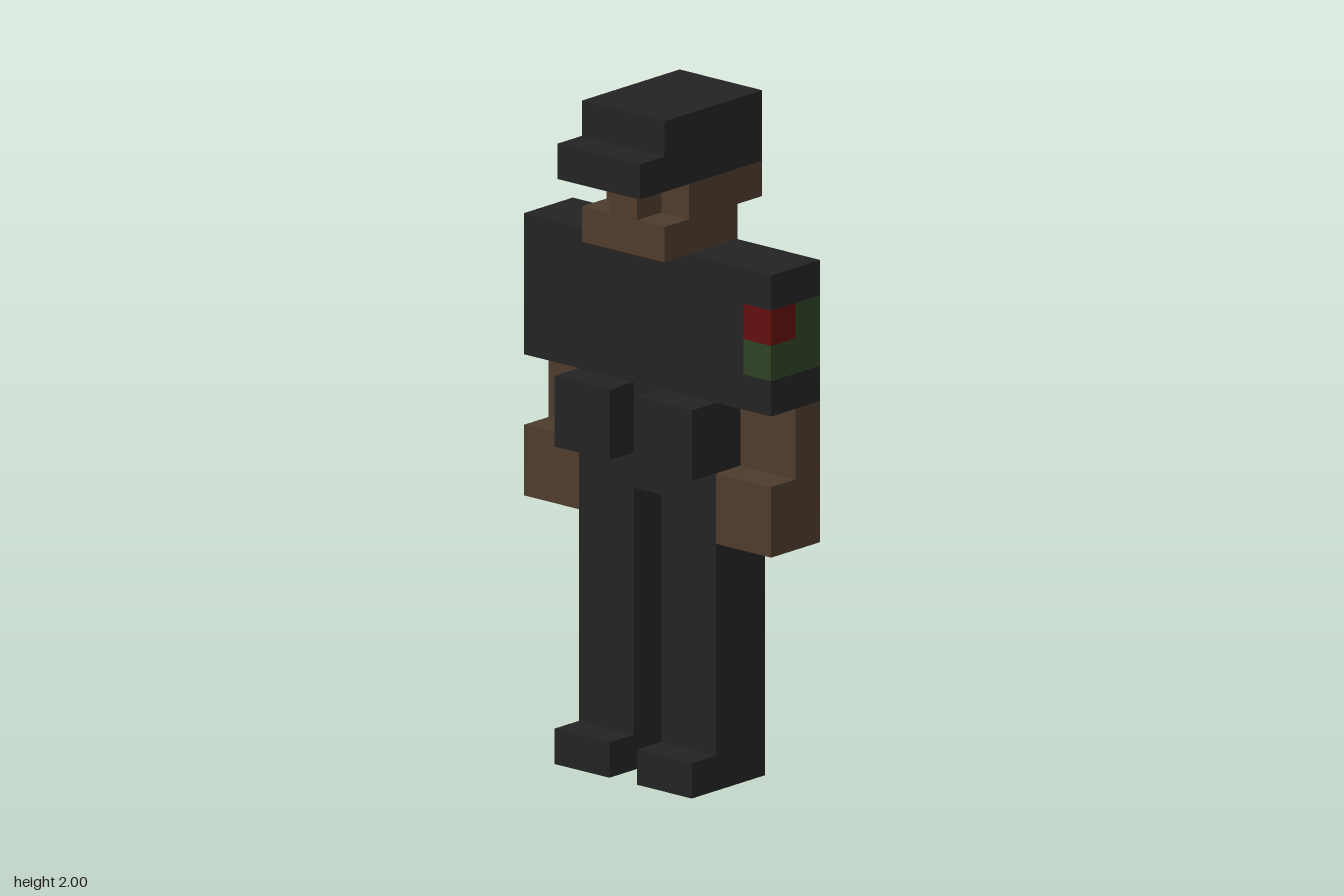
import * as THREE from 'three';

const U = 2 / 19; // one block

const mat = (name, color) => {
  const m = new THREE.MeshStandardMaterial({ color });
  m.name = name;
  return m;
};

export function createModel() {
  const black = mat('black cloth', 0x242424);
  const skin = mat('brown skin', 0x4e3c2d);
  const red = mat('patch red', 0x621010);
  const green = mat('patch green', 0x2e4324);

  const model = new THREE.Group();
  model.name = 'figure';

  // Box between two corners, measured in blocks
  const block = (parent, name, material, [x0, x1], [y0, y1], [z0, z1]) => {
    const mesh = new THREE.Mesh(
      new THREE.BoxGeometry((x1 - x0) * U, (y1 - y0) * U, (z1 - z0) * U), material);
    mesh.position.set((x0 + x1) / 2 * U, (y0 + y1) / 2 * U, (z0 + z1) / 2 * U);
    mesh.name = name;
    parent.add(mesh);
  };
  const group = (name) => {
    const g = new THREE.Group();
    g.name = name;
    model.add(g);
    return g;
  };
  const span = (s, a, b) => (s > 0 ? [a, b] : [-b, -a]);
  const body = [-1.5, 0.5]; // body depth

  // Legs, feet, pouches and arms on both sides
  for (const [s, side] of [[1, 'left'], [-1, 'right']]) {
    const leg = group(side + 'Leg');
    block(leg, 'trouserLeg', black, span(s, 0.5, 2.5), [0, 8], body);
    block(leg, 'shoeToe', black, span(s, 0.5, 2.5), [0, 1], [0.5, 1.5]);
    block(model, side + 'Pouch', black, span(s, 0.5, 2.5), [9, 11], [0.5, 1.5]);

    const arm = group(side + 'Arm');
    block(arm, 'sleeve', black, span(s, 2.5, 3.5), [11, 15], body);
    block(arm, 'forearm', skin, span(s, 2.5, 4.5), [9, 11], [-1.5, -0.5]);
    block(arm, 'hand', skin, span(s, 2.5, 4.5), [7, 9], body);
  }

  // Torso
  block(model, 'torso', black, [-2.5, 2.5], [8, 15], body);

  // Outer sleeves, the left one with a coloured patch
  block(model, 'rightOuterSleeve', black, [-4.5, -3.5], [11, 15], body);
  const sleeve = group('leftOuterSleeve');
  const outer = [3.5, 4.5];
  block(sleeve, 'sleeveCuff', black, outer, [11, 12], body);
  block(sleeve, 'patchLower', green, outer, [12, 13], body);
  block(sleeve, 'patchRear', green, outer, [13, 14], [-1.5, -0.5]);
  block(sleeve, 'patchFront', red, outer, [13, 14], [-0.5, 0.5]);
  block(sleeve, 'shoulderTop', black, outer, [14, 15], body);

  // Head with recessed eyes either side of the nose
  const head = group('head');
  const w = [-1.5, 1.5];
  block(head, 'jaw', skin, w, [15, 16], [-1.5, 1.5]);
  block(head, 'face', skin, w, [16, 17], [-2.5, 0.5]);
  block(head, 'nose', skin, [-0.5, 0.5], [16, 17], [0.5, 1.5]);

  // Cap
  const cap = group('cap');
  block(cap, 'capCrown', black, w, [17, 19], [-2.5, 1.5]);
  block(cap, 'capBrim', black, w, [17, 18], [1.5, 2.5]);

  return model;
}
